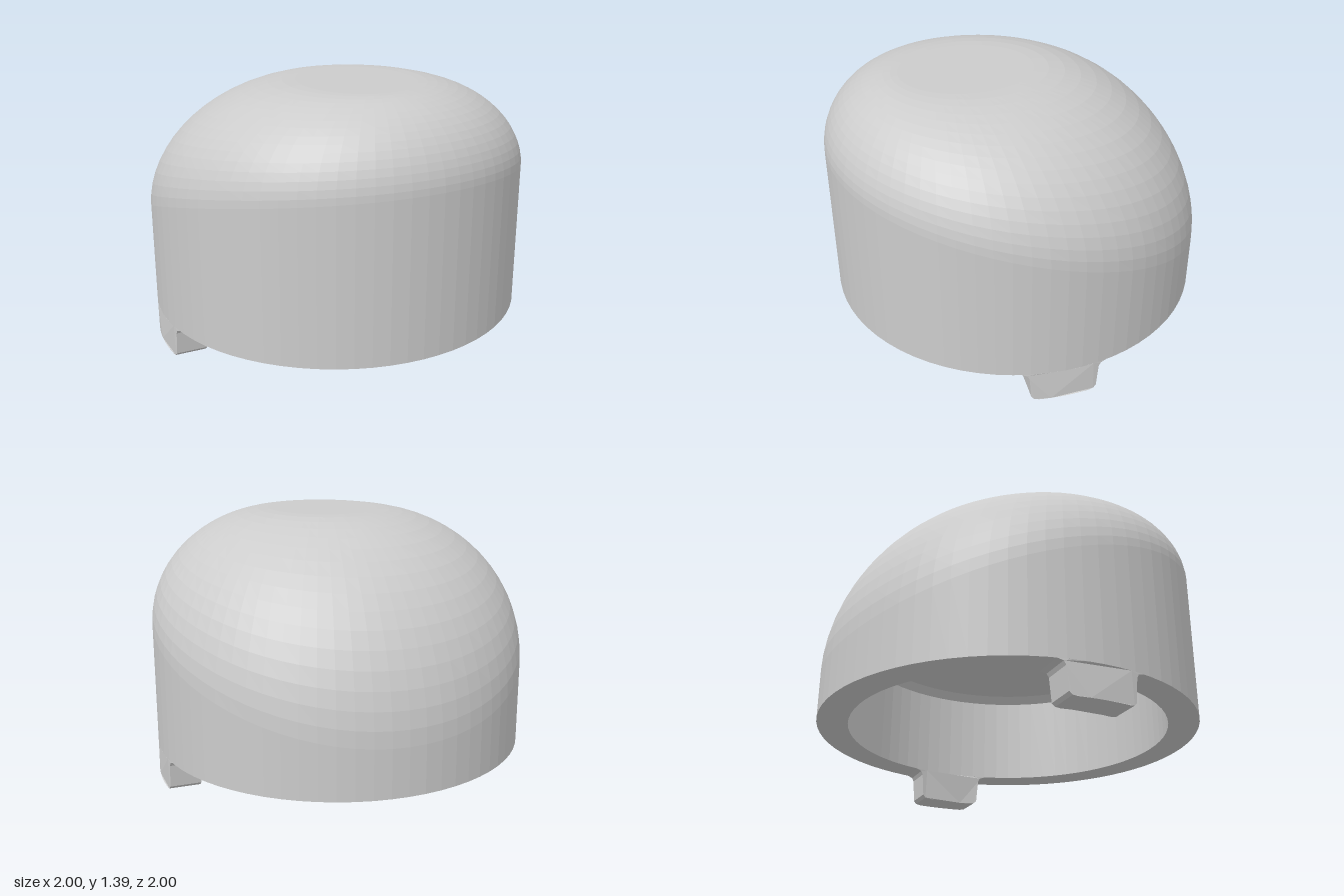
import * as THREE from 'three';

const SEGMENTS = 72, RIM = 0.17, TOP = 1.39, INNER = 0.84;

// Dome skin: straight skirt, then an arc from a shoulder (high in front,
// low at the back) to a small flat circle set forward of the axis.
function domeGeometry() {
  const rows = 16;
  const profile = [];
  for (let j = 0; j <= rows + 2; j++) profile.push(new THREE.Vector2(1, j));
  const geo = new THREE.LatheGeometry(profile, SEGMENTS);
  const pos = geo.attributes.position;
  for (let i = 0; i < pos.count; i++) {
    const x = pos.getX(i), z = pos.getZ(i), j = Math.round(pos.getY(i));
    const shoulder = 0.78 + 0.29 * z - 0.07 * z * z;
    const flatX = 0.3 * x, flatZ = 0.25 + 0.35 * z;
    if (j === 0) pos.setXYZ(i, x, RIM, z);
    else if (j === rows + 2) pos.setXYZ(i, 0, TOP, 0.25);
    else {
      const t = ((j - 1) / rows) * Math.PI / 2;
      const out = Math.pow(Math.max(0, Math.cos(t)), 1.05);
      const up = Math.pow(Math.sin(t), 1.05);
      pos.setXYZ(i,
        THREE.MathUtils.lerp(flatX, x, out),
        THREE.MathUtils.lerp(shoulder, TOP, up),
        THREE.MathUtils.lerp(flatZ, z, out));
    }
  }
  geo.computeVertexNormals();
  return geo;
}

// Underside: blind hole, flat ceiling, cavity wall and rim.
function cavityGeometry() {
  const profile = [
    [0, 0.95], [0.22, 0.95], [0.22, 0.69], [0.8, 0.69], [INNER, 0.65], [INNER, RIM], [1, RIM],
  ].map(([r, y]) => new THREE.Vector2(r, y));
  return new THREE.LatheGeometry(profile, SEGMENTS);
}

// Locking tab: rounded side outline, bent to follow the rim.
function tabGeometry() {
  const half = [[0.13, 0], [0.155, 0.004], [0.17, 0.02], [0.18, 0.14], [0.19, 0.16], [0.22, RIM]];
  const shape = new THREE.Shape();
  shape.moveTo(0, 0);
  shape.lineTo(0.07, 0);
  half.forEach(([a, y]) => shape.lineTo(a, y));
  for (let a = 0.15; a > -0.2; a -= 0.075) shape.lineTo(a, RIM);
  half.slice().reverse().forEach(([a, y]) => shape.lineTo(-a, y));
  shape.lineTo(-0.07, 0);
  shape.closePath();
  const geo = new THREE.ExtrudeGeometry(shape, { depth: 1, bevelEnabled: false });
  const pos = geo.attributes.position;
  for (let i = 0; i < pos.count; i++) {
    const a = pos.getX(i);
    const r = THREE.MathUtils.lerp(INNER, 1, pos.getZ(i));
    pos.setXYZ(i, a, pos.getY(i), Math.sqrt(r * r - a * a));
  }
  geo.computeVertexNormals();
  return geo;
}

export function createModel() {
  const model = new THREE.Group();
  model.name = 'cap';
  const material = new THREE.MeshStandardMaterial({ color: 0xcccccc, flatShading: true });
  const add = (name, geo) => {
    const mesh = new THREE.Mesh(geo, material);
    mesh.name = name;
    model.add(mesh);
    return mesh;
  };

  add('dome', domeGeometry());
  add('cavity', cavityGeometry());

  // Tabs on both sides
  const tab = tabGeometry();
  add('leftTab', tab).rotation.y = Math.PI / 2;
  add('rightTab', tab).rotation.y = -Math.PI / 2;

  return model;
}
